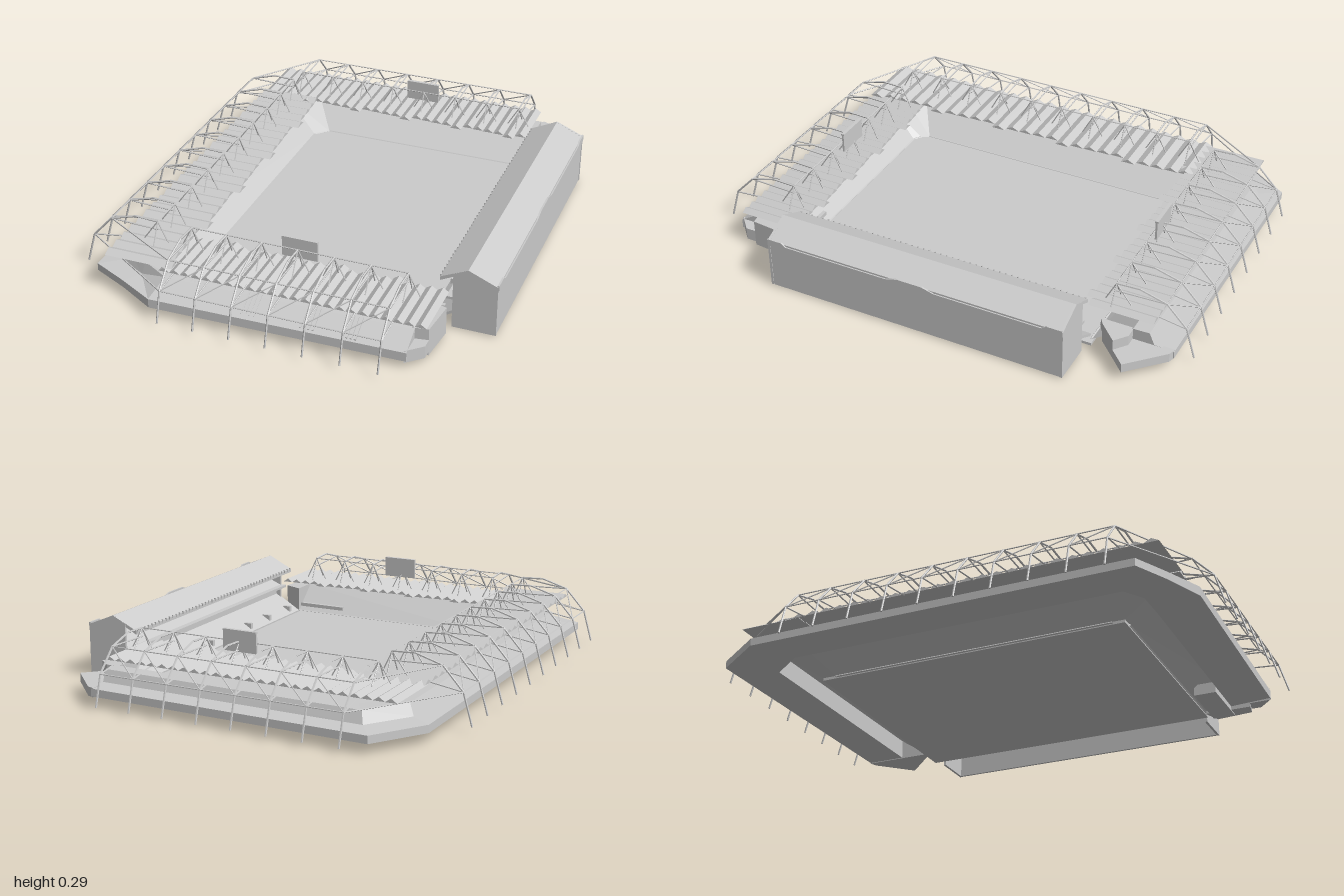
import * as THREE from 'three';
import { mergeGeometries } from 'three/addons/utils/BufferGeometryUtils.js';

const mat = new THREE.MeshStandardMaterial({ color: 0xcccccc, flatShading: true, side: THREE.DoubleSide });
const V = (x, y, z) => new THREE.Vector3(x, y, z);

export function createModel() {
  const model = new THREE.Group();
  const add = (name, geos) => {
    const m = new THREE.Mesh(Array.isArray(geos) ? mergeGeometries(geos) : geos, mat);
    m.name = name;
    model.add(m);
  };
  // box given by its limits
  const box = (x0, x1, y0, y1, z0, z1) =>
    new THREE.BoxGeometry(x1 - x0, y1 - y0, z1 - z0).translate((x0 + x1) / 2, (y0 + y1) / 2, (z0 + z1) / 2);
  const strut = (a, b, r = 0.003) => {
    const d = b.clone().sub(a);
    const g = new THREE.CylinderGeometry(r, r, d.length(), 5);
    g.applyQuaternion(new THREE.Quaternion().setFromUnitVectors(V(0, 1, 0), d.normalize()));
    return g.translate((a.x + b.x) / 2, (a.y + b.y) / 2, (a.z + b.z) / 2);
  };
  // flat polygons of any corner count, as triangle fans
  const facets = (polys) => {
    const p = [];
    for (const q of polys)
      for (let i = 1; i < q.length - 1; i++) for (const v of [q[0], q[i], q[i + 1]]) p.push(v.x, v.y, v.z);
    const g = new THREE.BufferGeometry();
    g.setAttribute('position', new THREE.Float32BufferAttribute(p, 3));
    g.computeVertexNormals();
    return g;
  };
  const shape = (pts) => new THREE.Shape(pts.map(([x, y]) => new THREE.Vector2(x, y)));
  // profile in x,y run along z
  const alongZ = (pts, z0, z1) =>
    new THREE.ExtrudeGeometry(shape(pts), { depth: z1 - z0, bevelEnabled: false }).translate(0, 0, z0);
  // plan in x,z raised in y
  const prism = (pts, y0, y1) =>
    new THREE.ExtrudeGeometry(shape(pts.map(([x, z]) => [x, -z])), { depth: y1 - y0, bevelEnabled: false })
      .rotateX(-Math.PI / 2).translate(0, y0, 0);

  // Playing field
  add('pitch', box(-0.39, 0.585, 0.003, 0.014, -0.63, 0.63));

  // Three-sided bowl: thin raked seating, then a hollow concourse ring: [fraction outward, y]
  const stepped = [[0, 0.012], [0.5, 0.118], [0.7, 0.12], [0.76, 0.075], [1, 0.07], [1, 0.04], [0.5, 0.04]];
  const sloped = [[0, 0.012], [0.4, 0.113], [0.65, 0.118], [0.7, 0.112], [1, 0.064], [1, 0.028], [0.4, 0.02]];
  const stations = [ // inner x,z  outer x,z  section
    [0.56, -0.62, 0.56, -0.94, stepped], [-0.34, -0.62, -0.58, -0.96, stepped],
    [-0.39, -0.57, -0.715, -0.76, stepped], [-0.39, 0.58, -0.715, 0.79, stepped],
    [-0.37, 0.61, -0.57, 0.86, stepped], [-0.34, 0.63, -0.43, 0.93, sloped], [0.56, 0.63, 0.56, 0.905, sloped],
  ].map(([ix, iz, ox, oz, sec]) => sec.map(([t, y]) => V(ix + (ox - ix) * t, y, iz + (oz - iz) * t)));
  const bowl = [];
  for (let i = 0; i < stations.length - 1; i++)
    for (let j = 0; j < 7; j++) {
      const k = j === 6 ? 1 : j + 1, a = stations[i], b = stations[i + 1];
      bowl.push([a[j], a[k], b[k], b[j]]);
    }
  for (const s of [stations[0], stations[6]]) bowl.push([s[6], ...s.slice(1, 6)]);
  add('seatingBowl', facets(bowl));

  // Low wall at the foot of the seats
  const rim = stations.map((s) => s[0]);
  add('pitchWall', rim.slice(1).map((p, i) => strut(rim[i], p, 0.005)));

  // Blocks closing the ends of the bowl
  add('backCornerConcourse', prism([[0.55, -0.94], [0.58, -0.93], [0.71, -0.8], [0.58, -0.67], [0.55, -0.67]], 0.037, 0.073));
  add('backCornerBlock', prism([[0.55, -0.78], [0.6, -0.78], [0.65, -0.74], [0.58, -0.67], [0.55, -0.65]], 0.073, 0.115));
  add('frontCornerBlock', prism([[0.55, 0.82], [0.61, 0.81], [0.625, 0.66], [0.55, 0.63]], 0.005, 0.115));
  add('frontCornerConcourse', prism([[0.55, 0.905], [0.61, 0.85], [0.61, 0.81], [0.55, 0.81]], 0.02, 0.07));
  add('frontPlinth', box(0.34, 0.6, 0, 0.045, 0.65, 0.74));

  // Stairs on the outer slope of the front
  const stairs = [];
  for (const x of [-0.3, -0.07, 0.16, 0.32])
    for (let i = 0; i < 4; i++)
      stairs.push(box(-0.004, 0.004, -0.012, 0.012, -0.045, 0.045).rotateX(0.52).translate(x + i * 0.016, 0.085, 0.86));
  add('frontStairs', stairs);

  // Folded roofs: rows of ridges with ragged inner edges
  const foldedRoof = (name, s0, s1, n, y, outer, inner, place) => {
    const polys = [], w = (s1 - s0) / n, dir = Math.sign(inner - outer);
    for (let i = 0; i < n; i++) {
      const s = s0 + i * w, e = inner + dir * [0, 0.01, 0.004, 0.026, 0.008][(i * 2) % 5];
      const P = (u, h, d) => place(s + u * w, y + h, d);
      const low = [[0, 0], [0.5, 0.015], [1, 0]];
      for (let k = 0; k < 2; k++)
        polys.push([P(...low[k], outer), P(...low[k + 1], outer), P(...low[k + 1], e), P(...low[k], e)]);
      for (const d of [outer, e]) polys.push(low.map(([u, h]) => P(u, h, d)));
      polys.push([P(0, 0, outer), P(1, 0, outer), P(1, 0, e), P(0, 0, e)]);
    }
    add(name, facets(polys));
  };
  const onX = (s, y, d) => V(s, y, d), onZ = (s, y, d) => V(d, y, s);
  foldedRoof('leftRoof', -0.63, 0.855, 25, 0.163, -0.64, -0.393, onZ);
  foldedRoof('backRoof', -0.64, 0.555, 26, 0.16, -0.855, -0.602, onX);
  foldedRoof('frontRoof', -0.42, 0.615, 24, 0.146, 0.855, 0.617, onX);

  // Roof trusses: arched frames joined by chords and diagonals
  const arch = [[0, 0.02], [0.035, 0.138], [0.115, 0.222], [0.22, 0.252], [0.31, 0.248]];
  const row = (a, b, n) => Array.from({ length: n }, (_, i) => a + ((b - a) * i) / (n - 1));
  const truss = (name, spots, roofY, place) => {
    const g = [];
    spots.forEach((s, i) => {
      const P = (k, q = s) => place(q, arch[k][1], arch[k][0]);
      for (let k = 0; k < 4; k++) g.push(strut(P(k), P(k + 1), 0.004));
      g.push(strut(P(1), place(s, roofY, 0.17)), strut(P(2), place(s, 0.215, 0.31)));
      for (const [ds, d] of [[-0.045, 0.31], [0.045, 0.31], [0, 0.25], [0, 0.35]])
        g.push(strut(P(4), place(s + ds, roofY + 0.01, d), 0.0025));
      if (i === spots.length - 1) return;
      const q = spots[i + 1];
      for (const k of [1, 2, 4]) g.push(strut(P(k), P(k, q), 0.0025));
      g.push(strut(P(1), P(2, q), 0.0025));
    });
    add(name, g);
  };
  const leftAt = (s, y, d) => V(-0.8 + d, y * 1.04, s);
  const backAt = (s, y, d) => V(s, y, -0.995 + d);
  const frontAt = (s, y, d) => V(s, y, 1 - d);
  truss('leftTruss', row(-0.58, 0.71, 10), 0.158, leftAt);
  truss('backTruss', row(-0.49, 0.5, 8), 0.16, backAt);
  truss('frontTruss', row(-0.36, 0.49, 7), 0.148, frontAt);
  const links = [];
  for (const k of [1, 2]) {
    const [d, y] = arch[k];
    links.push(strut(leftAt(-0.58, y, d), backAt(-0.49, y, d)), strut(leftAt(0.71, y, d), frontAt(-0.36, y, d)));
  }
  add('cornerChords', links);

  // Scoreboards above the two end roofs
  for (const [name, z] of [['backScoreboard', -0.69], ['frontScoreboard', 0.68]])
    add(name, [box(0, 0.14, 0.21, 0.285, z - 0.004, z + 0.004), box(0, 0.14, 0.285, 0.292, z - 0.007, z + 0.007)]);

  // Main stand: outer wall, pitched roof and upper tier in one shell, open below
  add('mainStandShell', alongZ([
    [0.795, 0.005], [0.795, 0.21], [0.685, 0.257], [0.58, 0.207], [0.58, 0.192], [0.685, 0.245], [0.775, 0.207],
    [0.755, 0.18], [0.63, 0.13], [0.605, 0.13], [0.605, 0.12], [0.63, 0.12], [0.755, 0.17], [0.785, 0.17], [0.785, 0.005],
  ], -0.61, 0.61));
  add('mainStandLowerTier', alongZ([
    [0.54, 0.008], [0.66, 0.08], [0.66, 0.105], [0.65, 0.105], [0.65, 0.086], [0.54, 0.02],
  ], -0.61, 0.61));
  for (const [name, z] of [['mainStandBackGable', -0.612], ['mainStandFrontGable', 0.602]])
    add(name, alongZ([[0.63, 0.005], [0.797, 0.005], [0.797, 0.21], [0.685, 0.257], [0.63, 0.23]], z, z + 0.01));

  // Stairway openings and eave posts of the main stand
  add('stairwayBoxes', [-0.45, -0.27, -0.1, 0.06, 0.21, 0.37, 0.55].map((z) => box(0.55, 0.585, 0.025, 0.05, z - 0.008, z + 0.008)));
  add('eavePosts', row(-0.6, 0.6, 50).map((z) => box(0.577, 0.583, 0.2, 0.212, z - 0.002, z + 0.002)));

  // Outer parapet, raised at the ends and bowed in the middle
  const parapet = [[-0.61, 0.19], [0.61, 0.19], [0.61, 0.217], [0.55, 0.217], [0.53, 0.203], [0.1, 0.203], [0.05, 0.217],
    [-0.05, 0.217], [-0.1, 0.203], [-0.53, 0.203], [-0.55, 0.217], [-0.61, 0.217]];
  add('parapet', new THREE.ExtrudeGeometry(shape(parapet), { depth: 0.007, bevelEnabled: false })
    .rotateY(Math.PI / 2).translate(0.793, 0, 0));

  return model;
}
